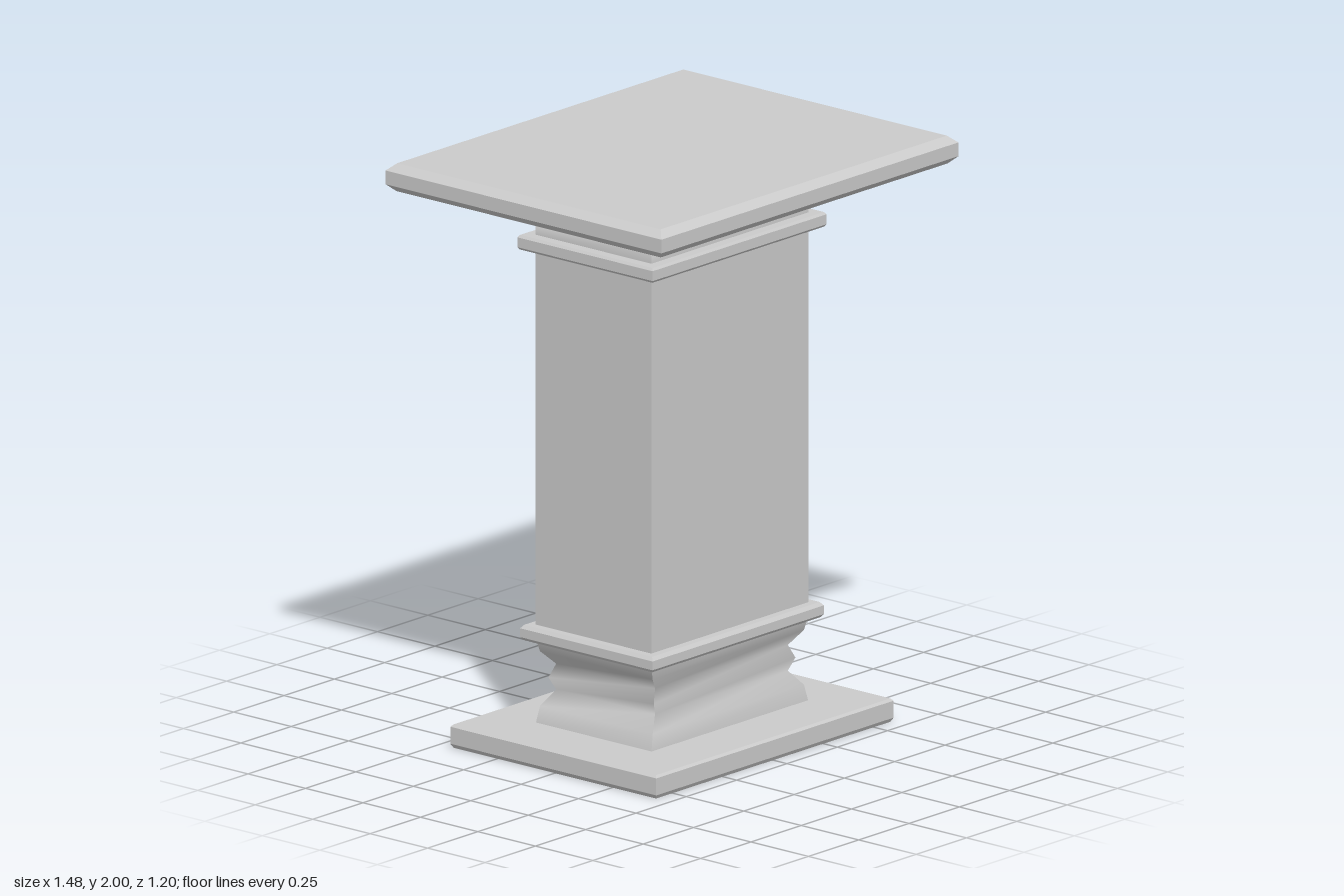
import * as THREE from 'three';

const material = new THREE.MeshStandardMaterial({ color: 0xcccccc });
const CORNERS = [[1, 1], [1, -1], [-1, -1], [-1, 1]];

// Rectangular loft: sections are [y, halfWidth, halfDepth], listed bottom to top.
// Each side owns its vertices, so corners stay sharp; smooth blends along the height.
function loft(name, sections, smooth = false) {
  const positions = [];
  const index = [];
  const corner = ([y, w, d], i) => [CORNERS[i % 4][0] * w, y, CORNERS[i % 4][1] * d];

  for (let side = 0; side < 4; side++) {
    const start = positions.length / 3;
    sections.forEach((s) => positions.push(...corner(s, side), ...corner(s, side + 1)));
    for (let j = 0; j < sections.length - 1; j++) {
      const a = start + j * 2;
      index.push(a, a + 1, a + 3, a, a + 3, a + 2);
    }
  }
  // Bottom and top caps
  [sections[0], sections[sections.length - 1]].forEach((s, top) => {
    const a = positions.length / 3;
    for (let i = 0; i < 4; i++) positions.push(...corner(s, i));
    index.push(...(top ? [a, a + 1, a + 2, a, a + 2, a + 3] : [a, a + 2, a + 1, a, a + 3, a + 2]));
  });

  let geometry = new THREE.BufferGeometry();
  geometry.setAttribute('position', new THREE.Float32BufferAttribute(positions, 3));
  geometry.setIndex(index);
  if (!smooth) geometry = geometry.toNonIndexed();
  geometry.computeVertexNormals();
  const mesh = new THREE.Mesh(geometry, material);
  mesh.name = name;
  return mesh;
}

// Slab with chamfered top and bottom edges
function slab(name, y0, y1, w, d, bottomBevel, topBevel) {
  const [bi, bh] = bottomBevel;
  const [ti, th] = topBevel;
  return loft(name, [
    [y0, w - bi, d - bi],
    [y0 + bh, w, d],
    [y1 - th, w, d],
    [y1, w - ti, d - ti],
  ]);
}

export function createModel() {
  const group = new THREE.Group();
  group.name = 'pedestal';

  group.add(
    slab('basePlinth', 0, 0.08, 0.59, 0.448, [0.008, 0.014], [0.008, 0.008]),
    // Double-waisted moulding above the plinth
    loft('baseMoulding', [
      [0.075, 0.39, 0.252],
      [0.135, 0.376, 0.245],
      [0.187, 0.33, 0.215],
      [0.23, 0.352, 0.229],
      [0.275, 0.33, 0.215],
      [0.322, 0.376, 0.245],
      [0.37, 0.39, 0.252],
    ], true),
    slab('lowerCollar', 0.363, 0.415, 0.426, 0.288, [0.008, 0.01], [0.01, 0.012]),
    loft('shaft', [[0.4, 0.39, 0.252], [1.71, 0.39, 0.252]]),
    slab('upperCollar', 1.697, 1.747, 0.432, 0.294, [0.006, 0.008], [0.006, 0.008]),
    // Pinched neck under the top
    loft('neckMoulding', [
      [1.74, 0.39, 0.252],
      [1.787, 0.39, 0.252],
      [1.826, 0.35, 0.225],
      [1.865, 0.39, 0.252],
      [1.91, 0.39, 0.252],
    ], true),
    slab('topSlab', 1.905, 2, 0.738, 0.6, [0.025, 0.024], [0.027, 0.024]),
  );
  return group;
}
